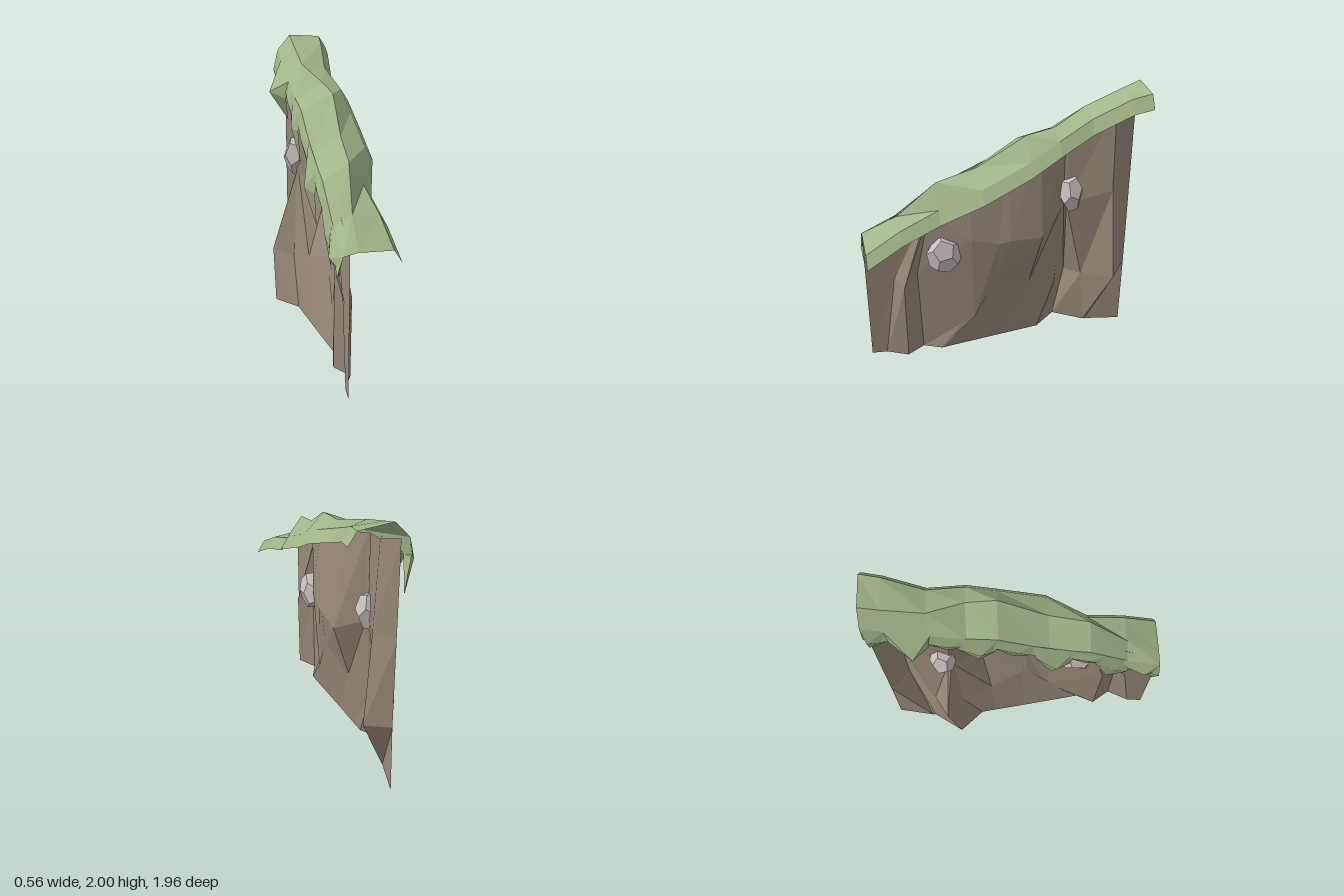
import * as THREE from 'three';

const vec = (x, y, z) => new THREE.Vector3(x, y, z);
const material = (color) =>
  new THREE.MeshStandardMaterial({ color, flatShading: true, side: THREE.DoubleSide });

// Mesh from a list of corner points, three per triangle
function facets(name, points, mat) {
  const geometry = new THREE.BufferGeometry().setFromPoints(points);
  geometry.computeVertexNormals();
  const mesh = new THREE.Mesh(geometry, mat);
  mesh.name = name;
  return mesh;
}

// Faceted sheet through neighbouring cross-sections
function sheet(name, sections, mat) {
  const points = [];
  for (let i = 0; i < sections.length - 1; i++) {
    for (let j = 0; j < sections[i].length - 1; j++) {
      const a = sections[i][j], b = sections[i + 1][j];
      const c = sections[i + 1][j + 1], d = sections[i][j + 1];
      points.push(a, b, c, a, c, d);
    }
  }
  return facets(name, points, mat);
}

// Turf stations: z, crown x and y, lip x and y
const turfStations = [
  [0.98, -0.05, 1.03, 0.18, 1.02],
  [0.74, -0.02, 1.18, 0.16, 1.16],
  [0.47, 0.03, 1.43, 0.13, 1.27],
  [0.19, 0.05, 1.52, 0.22, 1.43],
  [-0.14, 0.08, 1.73, 0.21, 1.59],
  [-0.34, 0.06, 1.76, 0.19, 1.71],
  [-0.58, -0.04, 1.85, 0.13, 1.82],
  [-0.84, -0.05, 1.95, 0.165, 1.95],
  [-0.97, -0.05, 2.0, 0.18, 1.98],
];

// Each section runs from hanging hem over rim and crown to the thick lip
const turf = turfStations.map(([z, crownX, crownY, lipX, lipY]) => {
  const rimY = crownY - Math.min(0.11, 0.02 + (0.98 - z) * 0.2);
  return [
    vec(-0.165, rimY - 0.12, z),
    vec(-0.145, rimY, z),
    vec(crownX, crownY, z),
    vec(lipX, lipY, z),
    vec(lipX + 0.055, lipY - 0.09, z),
  ];
});

// Point on the turf rim at a given z
function rimAt(z) {
  const rim = turf.map((section) => section[1]);
  let i = 0;
  while (i < rim.length - 2 && rim[i + 1].z > z) i++;
  const t = (rim[i].z - z) / (rim[i].z - rim[i + 1].z);
  return rim[i].clone().lerp(rim[i + 1], THREE.MathUtils.clamp(t, 0, 1));
}

// Rock columns: foot x, z; knee x, y, z; ledge x, y, z
const rockColumns = [
  [-0.1, 0.98, -0.1, 0.4, 0.98, -0.1, 0.7, 0.98],
  [-0.09, 0.87, -0.09, 0.63, 0.78, -0.08, 1.13, 0.55],
  [-0.015, 0.72, -0.01, 0.59, 0.72, -0.07, 1.14, 0.53],
  [-0.1, 0.59, -0.1, 0.65, 0.61, -0.07, 1.15, 0.51],
  [-0.04, 0.46, -0.01, 0.27, 0.21, 0.03, 0.95, 0.23],
  [-0.09, 0.1, 0, 0.57, 0.05, 0.05, 0.9, 0.04],
  [-0.1, 0.03, -0.005, 0.57, 0.02, 0.06, 0.92, -0.04],
  [-0.13, -0.2, -0.08, 0.47, -0.22, 0.06, 0.92, -0.28],
  [-0.145, -0.31, -0.15, 0.38, -0.44, -0.1, 1.05, -0.46],
  [-0.29, -0.48, -0.29, 0.41, -0.56, -0.11, 1.06, -0.48],
  [-0.15, -0.69, -0.14, 0.44, -0.65, -0.1, 1.08, -0.5],
  [-0.15, -0.71, 0.06, 0.5, -0.84, 0, 1.2, -0.81],
  [-0.1, -0.97, -0.09, 0.54, -0.97, -0.09, 1.2, -0.97],
];

// Grass tufts along the rim: z, hanging length, belly bulge
const tufts = [
  [0.97, 0.34, 0.04], [0.85, 0.25, 0.06], [0.63, 0.44, 0.03], [0.44, 0.27, 0.03],
  [0.22, 0.5, 0.07], [-0.05, 0.3, 0.03], [-0.28, 0.43, 0.05], [-0.48, 0.28, 0.03],
  [-0.7, 0.38, 0.125], [-0.97, 0.37, 0.04],
];

// Boulders embedded through the wall: position, radii, turn
const boulders = [
  [[-0.015, 0.83, 0.42], [0.075, 0.145, 0.13], 0.2],
  [[-0.1, 1.17, -0.53], [0.1, 0.15, 0.09], -0.3],
];

export function createModel() {
  const group = new THREE.Group();
  const rock = material(0x98897a);
  const grass = material(0xa2b589);
  const stone = material(0xc8c0bf);

  // Wall columns rise from the ground and end just under the turf
  const columns = rockColumns.map(([footX, footZ, kneeX, kneeY, kneeZ, ledgeX, ledgeY, ledgeZ]) => [
    vec(footX, 0, footZ),
    vec(kneeX, kneeY, kneeZ),
    vec(ledgeX, ledgeY, ledgeZ),
    vec(Math.min(-0.03, ledgeX), rimAt(ledgeZ).y, ledgeZ),
  ]);
  group.add(sheet('rockWall', columns, rock));
  group.add(sheet('grassTop', turf, grass));

  // Broad pointed tufts with a folded belly hang down one face
  const blades = [];
  for (const [z, length, bulge] of tufts) {
    const a = rimAt(Math.min(0.98, z + 0.14)), b = rimAt(Math.max(-0.97, z - 0.14));
    const tip = rimAt(z).add(vec(0.02, -length, 0));
    const belly = rimAt(z).add(vec(-bulge, -length * 0.4, 0.02));
    const left = a.clone().add(vec(-0.02, -length * 0.35, -0.02));
    const right = b.clone().add(vec(-0.02, -length * 0.35, 0.02));
    blades.push(a, left, belly, a, belly, b, b, belly, right, left, tip, belly, belly, tip, right);
  }
  group.add(facets('grassTufts', blades, grass));

  for (const [position, radii, turn] of boulders) {
    const boulder = new THREE.Mesh(new THREE.DodecahedronGeometry(1, 0).rotateX(turn), stone);
    boulder.position.set(...position);
    boulder.scale.set(...radii);
    boulder.name = 'boulder';
    group.add(boulder);
  }
  return group;
}
